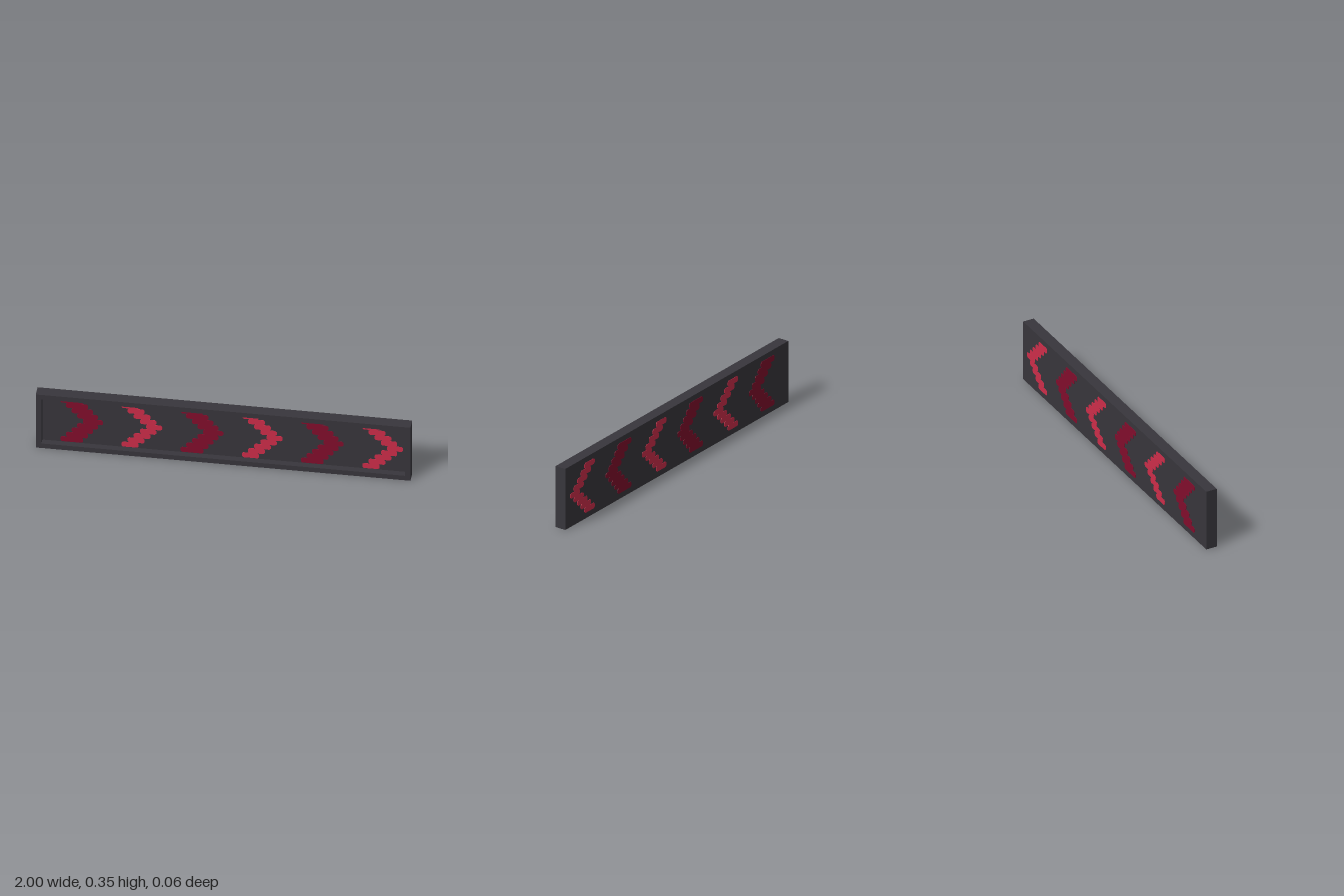
import * as THREE from 'three';

const WIDTH = 2, HEIGHT = 0.355, HALF_DEPTH = 0.0315, RIM = 0.03, FLOOR = -0.003;

// Chevron outline made of stepped rows with softened corners, pointing to +x
function chevronShape(arm, stepLeft, stepRight) {
  const rows = 9, h = 0.29 / rows, cut = 0.008, y0 = 0.033;
  const right = [], left = [];
  for (let i = 0; i < rows; i++) {
    const k = 4 - Math.abs(i - 4), y = y0 + i * h;
    const r = arm + k * stepRight, l = k * stepLeft;
    right.push([r - cut, y], [r, y + cut], [r, y + h - cut], [r - cut, y + h]);
    left.push([l + cut, y], [l, y + cut], [l, y + h - cut], [l + cut, y + h]);
  }
  return new THREE.Shape([...right, ...left.reverse()].map(([x, y]) => new THREE.Vector2(x, y)));
}

export function createModel() {
  const model = new THREE.Group();
  const casing = new THREE.MeshStandardMaterial({ name: 'charcoal', color: 0x38363c });
  const dark = new THREE.MeshStandardMaterial({ name: 'dark red', color: 0x820d2c });
  const bright = new THREE.MeshStandardMaterial({ name: 'bright red', color: 0xce2d4a });

  const add = (name, geometry, material, x, y, z) => {
    const mesh = new THREE.Mesh(geometry, material);
    mesh.name = name;
    mesh.position.set(x, y, z);
    model.add(mesh);
  };

  // Solid back panel
  const panelDepth = FLOOR + HALF_DEPTH;
  add('backPanel', new THREE.BoxGeometry(WIDTH, HEIGHT, panelDepth), casing,
    0, HEIGHT / 2, (FLOOR - HALF_DEPTH) / 2);

  // Raised rim around the recessed front
  const rect = (Type, inset) => {
    const x = WIDTH / 2 - inset, a = inset, b = HEIGHT - inset;
    return new Type([[-x, a], [x, a], [x, b], [-x, b]].map(([px, py]) => new THREE.Vector2(px, py)));
  };
  const frame = rect(THREE.Shape, 0);
  frame.holes.push(rect(THREE.Path, RIM));
  add('frontRim', new THREE.ExtrudeGeometry(frame, { depth: HALF_DEPTH - FLOOR, bevelEnabled: false }),
    casing, 0, 0, FLOOR);

  // Alternating arrows, repeated on the recessed front and on the back
  const plate = (shape) => new THREE.ExtrudeGeometry(shape, { depth: 0.002, bevelEnabled: false });
  const darkArrow = plate(chevronShape(0.122, 0.03, 0.0265));
  const brightArrow = plate(chevronShape(0.092, 0.033, 0.0315));
  for (let i = 0; i < 3; i++) {
    for (const [side, z] of [['front', FLOOR], ['back', -HALF_DEPTH - 0.002]]) {
      add(side + 'DarkArrow' + (i + 1), darkArrow, dark, -0.874 + i * 0.642, 0, z);
      add(side + 'BrightArrow' + (i + 1), brightArrow, bright, -0.548 + i * 0.643, 0, z);
    }
  }
  return model;
}
